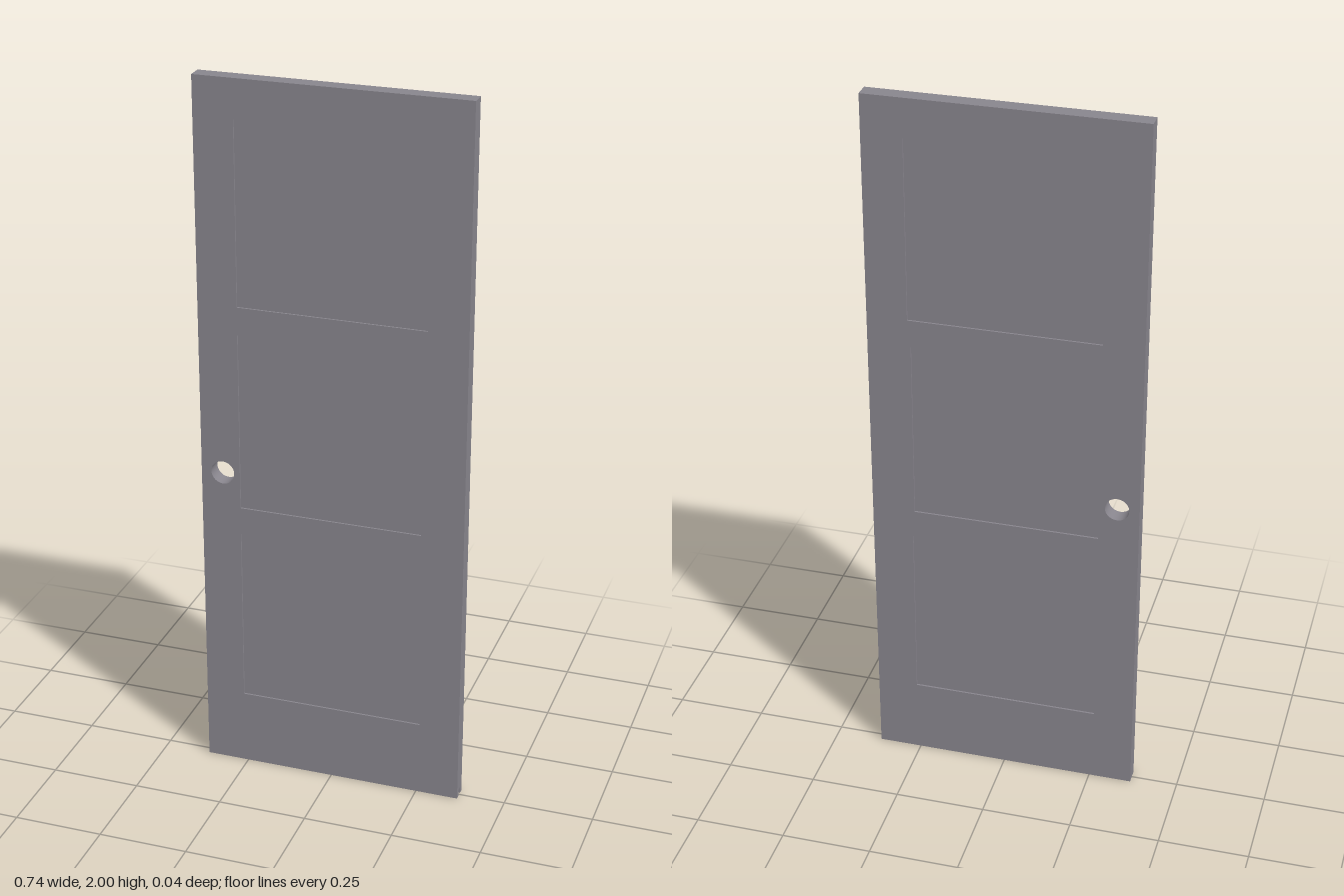
import * as THREE from 'three';

const W = 0.37, H = 2, T = 0.022;            // half width, height, half thickness
const DEPTH = 0.005;                          // panel recess
const KNOB = { x: -0.309, y: 0.902, r: 0.033 };
const NOTCH = { half: 0.008, h: 0.02, end: W - 0.025 };
// x0, x1, y0, y1 of the three recessed panels
const PANELS = [
  [-0.26, 0.26, 1.386, 1.893],
  [-0.26, 0.252, 0.802, 1.308],
  [-0.26, 0.258, 0.217, 0.723],
];

export function createModel() {
  const material = new THREE.MeshStandardMaterial({ color: 0x88858d });
  const door = new THREE.Group();
  door.name = 'door';

  const add = (parent, name, geometry, pos, rx = 0, ry = 0) => {
    const mesh = new THREE.Mesh(geometry, material);
    mesh.name = name;
    mesh.position.set(...pos);
    mesh.rotation.set(rx, ry, 0);
    parent.add(mesh);
    return mesh;
  };
  const plane = (w, h) => new THREE.PlaneGeometry(w, h);
  const outline = (pts) => new THREE.Shape(pts.map(([x, y]) => new THREE.Vector2(x, y)));
  const Q = Math.PI / 2;

  // Front and back faces, each with three recessed panels
  for (const s of [1, -1]) {
    const face = new THREE.Group();
    face.name = s > 0 ? 'frontFace' : 'backFace';
    face.rotation.y = s > 0 ? 0 : Math.PI;
    door.add(face);

    const shape = outline([[-W, 0], [W, 0], [W, H], [-W, H]]);
    const knobHole = new THREE.Path();
    knobHole.absarc(KNOB.x * s, KNOB.y, KNOB.r, 0, Math.PI * 2, true);
    shape.holes.push(knobHole);

    PANELS.forEach(([a, b, y0, y1], i) => {
      const x0 = Math.min(a * s, b * s), x1 = Math.max(a * s, b * s);
      shape.holes.push(outline([[x0, y0], [x0, y1], [x1, y1], [x1, y0]]));
      const w = x1 - x0, h = y1 - y0, cx = (x0 + x1) / 2, cy = (y0 + y1) / 2;
      const panel = new THREE.Group();
      panel.name = 'panel' + (i + 1);
      panel.position.set(cx, cy, T - DEPTH);
      face.add(panel);
      add(panel, 'panelFloor', plane(w, h), [0, 0, 0]);
      for (const d of [1, -1]) {
        add(panel, 'panelSideWall', plane(DEPTH, h), [-d * w / 2, 0, DEPTH / 2], 0, d * Q);
        add(panel, 'panelEndWall', plane(w, DEPTH), [0, -d * h / 2, DEPTH / 2], -d * Q);
      }
    });
    add(face, 'faceFrame', new THREE.ShapeGeometry(shape, 24), [0, 0, T]);
  }

  // Lining of the knob hole, seen from inside
  const bore = new THREE.CylinderGeometry(KNOB.r, KNOB.r, 2 * T, 48, 1, true);
  const lining = add(door, 'knobHole', bore, [KNOB.x, KNOB.y, 0], Q);
  lining.material = material.clone();
  lining.material.side = THREE.DoubleSide;

  // Outer edges; the lower left corner has a small pivot notch
  const { half: g, h: gh, end } = NOTCH;
  add(door, 'topEdge', plane(2 * W, 2 * T), [0, H, 0], -Q);
  add(door, 'rightEdge', plane(2 * T, H), [-W, H / 2, 0], 0, -Q);
  add(door, 'leftEdge', new THREE.ShapeGeometry(outline([
    [-T, 0], [-g, 0], [-g, gh], [g, gh], [g, 0], [T, 0], [T, H], [-T, H],
  ])), [W, 0, 0], 0, Q);
  add(door, 'bottomEdge', new THREE.ShapeGeometry(outline([
    [-W, -T], [W, -T], [W, -g], [end, -g], [end, g], [W, g], [W, T], [-W, T],
  ])), [0, 0, 0], Q);

  // Inside of the pivot notch
  const len = W - end, mid = (W + end) / 2;
  add(door, 'notchCeiling', plane(len, 2 * g), [mid, gh, 0], Q);
  add(door, 'notchEnd', plane(2 * g, gh), [end, gh / 2, 0], 0, Q);
  add(door, 'notchWall', plane(len, gh), [mid, gh / 2, -g]);
  add(door, 'notchWall', plane(len, gh), [mid, gh / 2, g], 0, Math.PI);

  return door;
}
